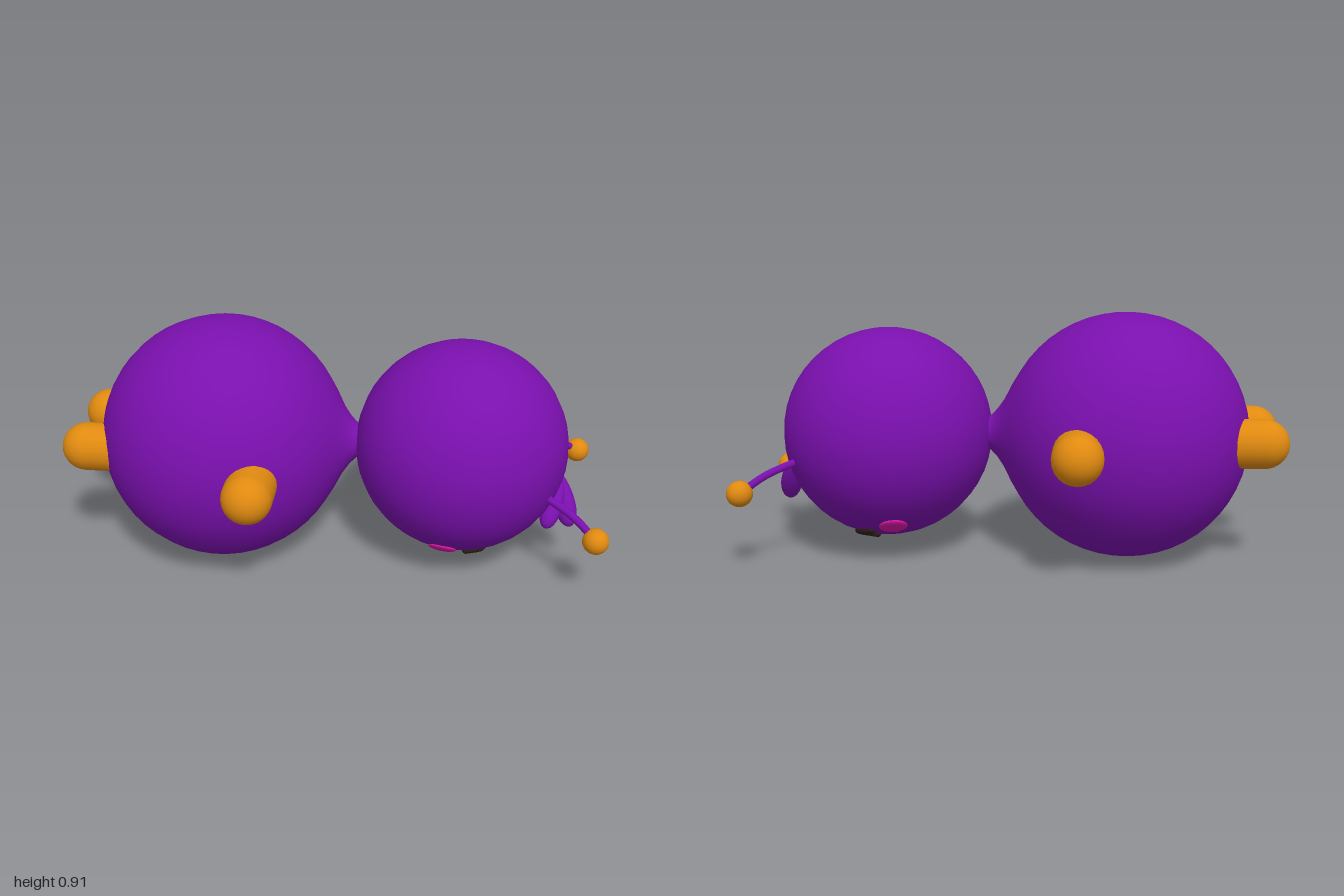
import * as THREE from 'three';

const mat = (color) => new THREE.MeshStandardMaterial({ color });
const purple = mat(0x7a10ae), orange = mat(0xe08a10), pink = mat(0xd816a4), dark = mat(0x2a1e12);
const V = (x, y, z) => new THREE.Vector3(x, y, z);
const UP = V(0, 1, 0);
const HEAD = V(0.47, 0.46, 0), HEAD_R = 0.392;
const BODY = V(-0.42, 0.46, 0), BODY_R = 0.455;

export function createModel() {
  const group = new THREE.Group();

  const add = (name, geometry, material, position = V(0, 0, 0)) => {
    const mesh = new THREE.Mesh(geometry, material);
    mesh.name = name;
    mesh.position.copy(position);
    group.add(mesh);
    return mesh;
  };

  // Capsule whose rounded ends reach points a and b
  const limb = (name, a, b, r) => {
    const dir = b.clone().sub(a);
    const mesh = add(name, new THREE.CapsuleGeometry(r, dir.length() - 2 * r, 8, 24), orange, a.clone().lerp(b, 0.5));
    mesh.quaternion.setFromUnitVectors(UP, dir.normalize());
  };

  // Teardrop with its thin end at a and its round end at b
  const teardrop = (name, a, b, r) => {
    const dir = b.clone().sub(a), len = dir.length();
    const profile = [];
    for (let i = 0; i <= 14; i++) {
      const t = (i / 14) * Math.PI;
      profile.push(new THREE.Vector2(r * Math.sin(t) * (0.85 - 0.2 * Math.cos(t)), len * (1 - Math.cos(t)) / 2));
    }
    profile[0].x = profile[14].x = 0;
    add(name, new THREE.LatheGeometry(profile, 20), purple, a).quaternion.setFromUnitVectors(UP, dir.normalize());
  };

  // Body: a ball that draws out into a narrow neck, turned around the x axis
  const profile = [];
  const last = Math.acos(-0.39 / BODY_R);
  for (let i = 0; i <= 22; i++) {
    const t = (i / 22) * last;
    profile.push(new THREE.Vector2(BODY_R * Math.sin(t), -BODY_R * Math.cos(t)));
  }
  for (const [r, x] of [[0.185, 0.42], [0.127, 0.45], [0.092, 0.475], [0.066, 0.5], [0.05, 0.55]])
    profile.push(new THREE.Vector2(r, x));
  add('body', new THREE.LatheGeometry(profile, 32), purple, BODY).rotation.z = -Math.PI / 2;

  // Head
  add('head', new THREE.SphereGeometry(HEAD_R, 32, 24), purple, HEAD);

  // Paired limbs and face parts
  for (const s of [1, -1]) {
    const side = s > 0 ? 'Front' : 'Back';
    limb('arm' + side, V(-0.255, 0.46, s * 0.2), V(-0.255, 0.46, s * 0.57), 0.089);
    limb('leg' + side, V(-0.6, 0.46, s * 0.152), V(-1, 0.46, s * 0.152), 0.089);

    // Cheek: a flattened disc lying on the head
    const normal = V(-0.055, -0.315, s * 0.235).normalize();
    const cheek = add('cheek' + side, new THREE.SphereGeometry(0.052, 24, 12), pink,
      HEAD.clone().addScaledVector(normal, HEAD_R - 0.002));
    cheek.scale.y = 0.25;
    cheek.quaternion.setFromUnitVectors(UP, normal);

    // Eye: a bent stroke following the head surface
    const corners = [V(0.034, -0.341, s * 0.2), V(0.08, -0.351, s * 0.168), V(0.095, -0.355, s * 0.142),
      V(0.08, -0.367, s * 0.118), V(0.034, -0.381, s * 0.098)];
    const path = corners.map((p) => p.setLength(HEAD_R).add(HEAD));
    add('eye' + side, new THREE.TubeGeometry(new THREE.CatmullRomCurve3(path), 20, 0.014, 8), dark);
    for (const p of [path[0], path[4]]) add('eyeEnd' + side, new THREE.SphereGeometry(0.014, 10, 8), dark, p);
  }

  // Antennae with ball tips
  const antennae = {
    Front: [V(0.73, 0.375, 0.17), V(0.80, 0.355, 0.215), V(0.88, 0.315, 0.26), V(0.95, 0.255, 0.303)],
    Back: [V(0.73, 0.39, -0.18), V(0.80, 0.37, -0.24), V(0.87, 0.34, -0.295), V(0.945, 0.287, -0.342)],
  };
  for (const [side, path] of Object.entries(antennae)) {
    add('antenna' + side, new THREE.TubeGeometry(new THREE.CatmullRomCurve3(path), 20, 0.014, 10), purple);
    add('antennaBall' + side, new THREE.SphereGeometry(0.047, 20, 14), orange, path[3]);
  }

  // Two small tufts between the antennae
  teardrop('tuftLarge', V(0.835, 0.35, -0.035), V(0.888, 0.178, 0.082), 0.046);
  teardrop('tuftSmall', V(0.85, 0.335, 0.005), V(0.79, 0.2, 0.14), 0.042);

  return group;
}
